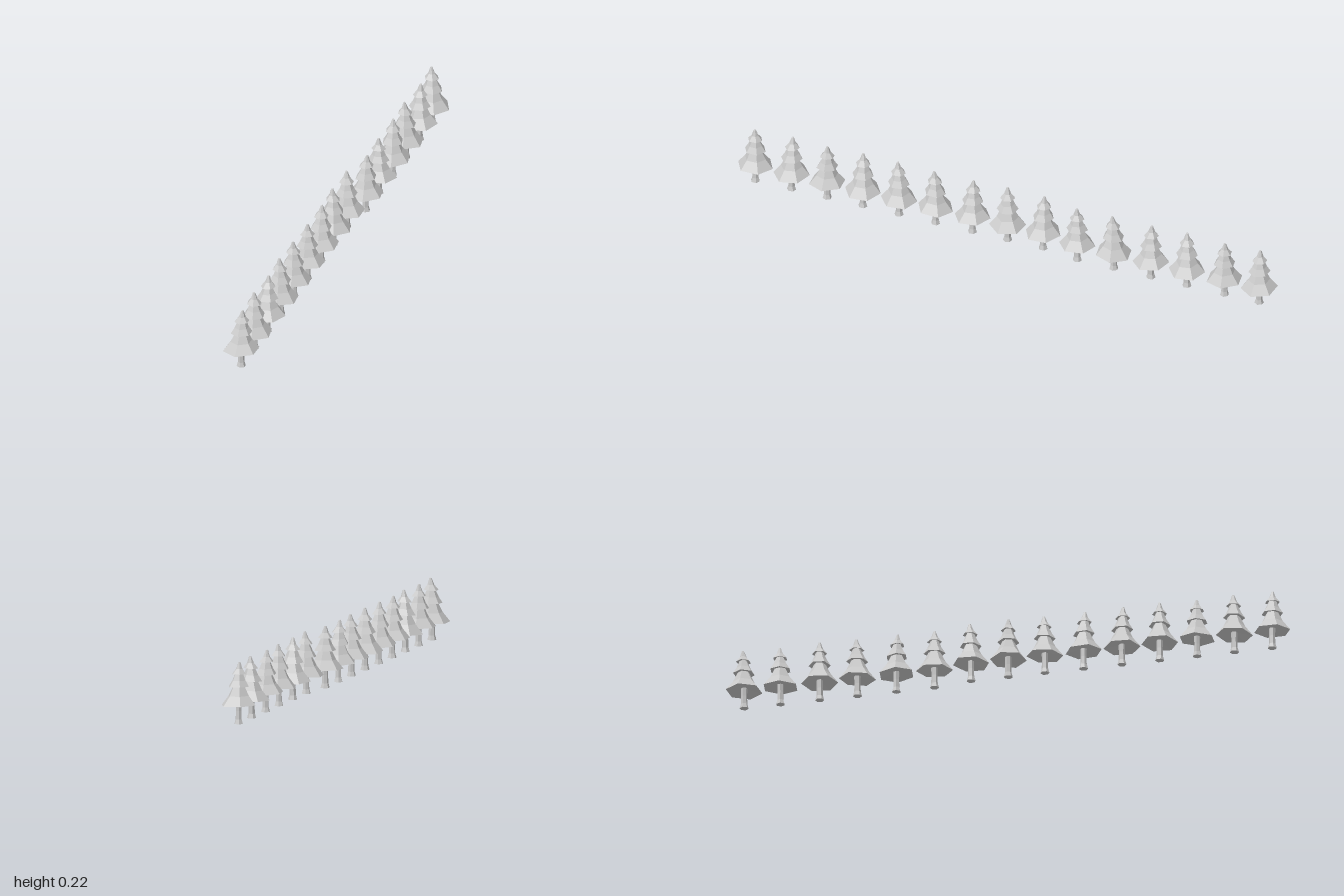
import * as THREE from 'three';

const material = new THREE.MeshStandardMaterial({ color: 0xcccccc, flatShading: true });

// Six-sided lathe with a slight sideways bend and hem tilt
function sixSided(profile, bend, tilt) {
  const geometry = new THREE.LatheGeometry(profile.map(([r, y]) => new THREE.Vector2(r, y)), 6);
  const p = geometry.attributes.position;
  for (let i = 0; i < p.count; i++) {
    const x = p.getX(i), y = p.getY(i);
    p.setX(i, x + bend * (y / 0.215) ** 3);
    p.setY(i, y + tilt * x);
  }
  geometry.computeVertexNormals();
  return geometry;
}

export function createModel() {
  const row = new THREE.Group();
  row.name = 'treeRow';

  // Flared trunk
  const trunkGeometry = sixSided(
    [[0, 0], [0.016, 0], [0.0115, 0.016], [0.0105, 0.045], [0.0115, 0.078]], 0, 0);

  // Three stacked skirts, each with a tucked-in underside
  const foliageGeometry = sixSided([
    [0.009, 0.075], [0.064, 0.065], [0.038, 0.098], [0.021, 0.133],
    [0.038, 0.13], [0.025, 0.151], [0.014, 0.177],
    [0.026, 0.174], [0.012, 0.192], [0.004, 0.215], [0, 0.216],
  ], 0.005, 0.05);

  // Depth and turn (in degrees) of each tree, front to back
  const depths = [0.936, 0.802, 0.67, 0.537, 0.403, 0.267, 0.13, 0,
    -0.132, -0.267, -0.402, -0.54, -0.674, -0.813, -0.942];
  const turns = [0, 130, 35, 185, 250, 300, 65, 200, 120, 10, 280, 75, 190, 40, 145];

  depths.forEach((z, i) => {
    const tree = new THREE.Group();
    tree.name = `tree${i + 1}`;
    const trunk = new THREE.Mesh(trunkGeometry, material);
    trunk.name = 'trunk';
    const foliage = new THREE.Mesh(foliageGeometry, material);
    foliage.name = 'foliage';
    tree.add(trunk, foliage);
    tree.position.set(z > -0.2 ? -0.012 : 0.008, 0, z);
    tree.rotation.y = THREE.MathUtils.degToRad(turns[i]);
    row.add(tree);
  });
  return row;
}
